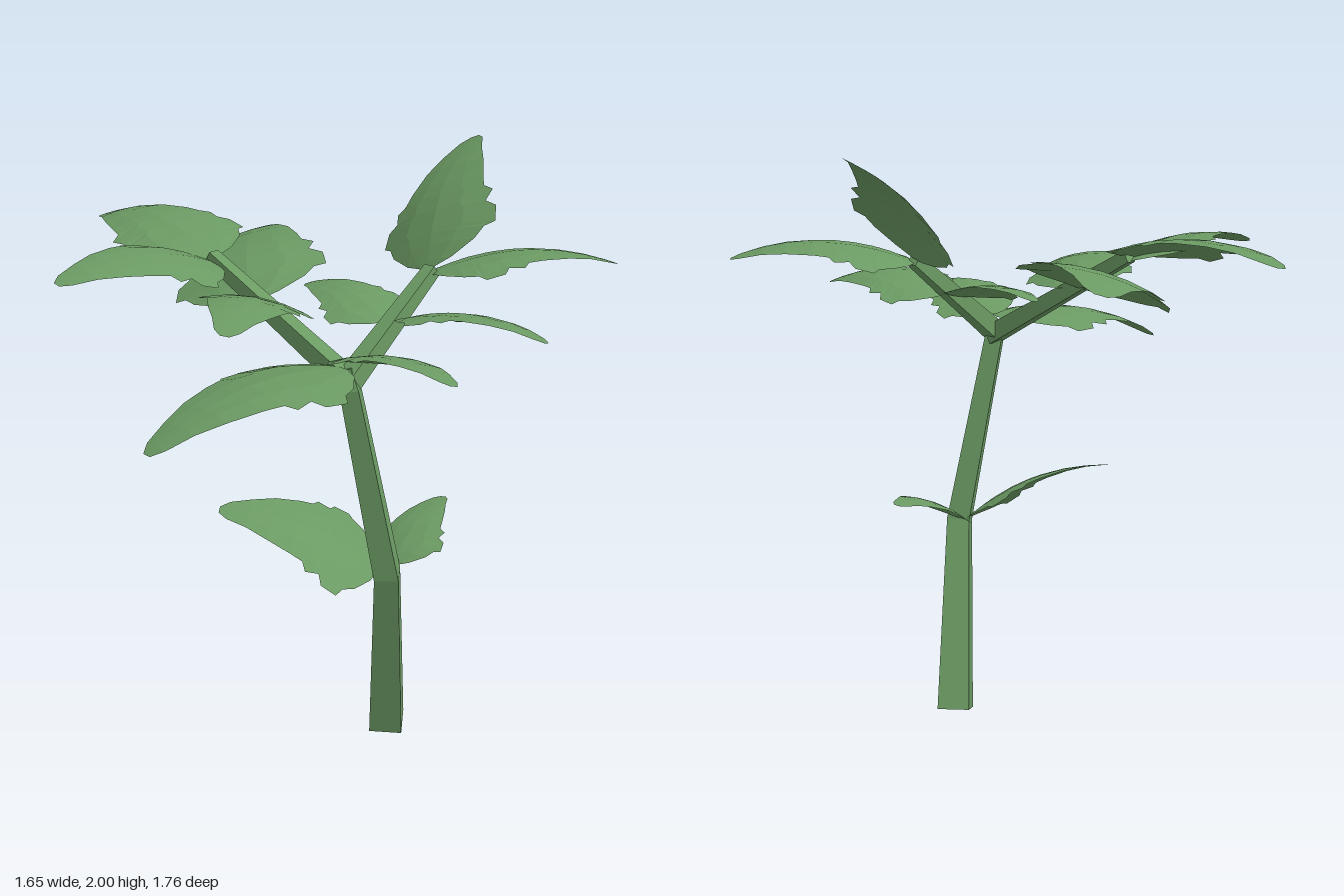
import * as THREE from 'three';

const V = (a) => new THREE.Vector3(...a);
const green = new THREE.MeshStandardMaterial({ color: 0x6b9a63, flatShading: true, side: THREE.DoubleSide });

function meshOf(name, points, index) {
  const geo = new THREE.BufferGeometry().setFromPoints(points);
  geo.setIndex(index);
  geo.computeVertexNormals();
  const mesh = new THREE.Mesh(geo, green);
  mesh.name = name;
  return mesh;
}

// Four-sided tapering stalk lofted along a path of [x, y, z, radius]; spin turns its section
function stalk(name, path, ref, spin) {
  const centres = path.map((p) => V(p.slice(0, 3)));
  const points = [], index = [], last = path.length - 1;
  centres.forEach((c, k) => {
    const t = centres[Math.min(k + 1, last)].clone().sub(centres[Math.max(k - 1, 0)]).normalize();
    const a = new THREE.Vector3().crossVectors(t, ref).normalize();
    const b = new THREE.Vector3().crossVectors(t, a);
    for (let i = 0; i < 4; i++) {
      const ang = (i * Math.PI) / 2 + spin;
      points.push(c.clone().addScaledVector(a, path[k][3] * Math.cos(ang)).addScaledVector(b, path[k][3] * Math.sin(ang)));
      if (k < last) {
        const p = k * 4 + i, q = k * 4 + ((i + 1) % 4);
        index.push(p, q, q + 4, p, q + 4, p + 4);
      }
    }
  });
  const e = last * 4;
  index.push(0, 2, 1, 0, 3, 2, e, e + 1, e + 2, e, e + 2, e + 3);
  return meshOf(name, points, index);
}

// Serrated outline: [distance along the leaf, half width], both as parts of its length
const OUTLINE = [
  [0, 0.03], [0.04, 0.13], [0.13, 0.24], [0.2, 0.28], [0.23, 0.33], [0.33, 0.32], [0.36, 0.265],
  [0.44, 0.285], [0.47, 0.235], [0.55, 0.215], [0.7, 0.17], [0.83, 0.115], [0.95, 0.07], [1, 0.025],
];

// Arched leaf from base to tip; roll lifts its right-hand edge
function leaf(name, base, tip, roll, width = 1) {
  const from = V(base), d = V(tip).sub(from), L = d.length();
  d.normalize();
  const s = new THREE.Vector3().crossVectors(d, new THREE.Vector3(0, 1, 0)).normalize().applyAxisAngle(d, -roll);
  const n = new THREE.Vector3().crossVectors(s, d);
  const points = [], index = [], cols = 5;
  OUTLINE.forEach(([t, w], k) => {
    for (let j = 0; j < cols; j++) {
      const u = j / 2 - 1;
      const lift = 0.4 * t * (1 - t) - 0.6 * (u * w) ** 2;
      points.push(from.clone().addScaledVector(d, t * L).addScaledVector(s, u * w * L * width).addScaledVector(n, lift * L));
      if (k < OUTLINE.length - 1 && j < cols - 1) {
        const p = k * cols + j, q = p + cols;
        index.push(p, p + 1, q + 1, p, q + 1, q);
      }
    }
  });
  return meshOf(name, points, index);
}

export function createModel() {
  const plant = new THREE.Group();
  plant.name = 'plant';

  // Bent main stem and its two branches
  const Y = new THREE.Vector3(0, 1, 0), Z = new THREE.Vector3(0, 0, 1);
  plant.add(
    stalk('mainStem', [[0.18, 0.02, 0.295, 0.08], [0.05, 0.68, 0.435, 0.057], [-0.08, 1.34, 0.39, 0.043], [-0.085, 1.4, 0.37, 0.03]], Z, 0),
    stalk('backBranch', [[-0.07, 1.35, 0.39, 0.045], [-0.205, 1.67, -0.19, 0.03]], Y, Math.PI / 4),
    stalk('leftBranch', [[-0.08, 1.36, 0.38, 0.045], [0.31, 1.65, 0.32, 0.03]], Y, Math.PI / 4),
  );

  // Leaves: name, base, tip, roll, width
  const leaves = [
    ['backBranchEndLeaf', [-0.2, 1.67, -0.18], [-0.2, 1.69, -0.88], 0.13],
    ['backBranchRightLeaf', [-0.2, 1.65, -0.17], [-0.81, 1.68, -0.14], 0.15],
    ['backBranchLeftLeaf', [-0.17, 1.54, -0.03], [0.28, 1.62, -0.61], 0.28, 1.08],
    ['backBranchFrontLeaf', [-0.14, 1.55, 0.02], [-0.56, 1.6, 0.4], 0.13],
    ['forkRightLeaf', [-0.1, 1.41, 0.38], [-0.82, 1.28, 0.37], -0.04],
    ['forkFrontLeaf', [-0.1, 1.43, 0.38], [-0.09, 1.48, 0.88], 0.22],
    ['leftBranchFrontLeaf', [0.14, 1.52, 0.36], [0.31, 1.53, 0.85], 0.2],
    ['leftBranchEndLeaf', [0.3, 1.64, 0.33], [0.82, 1.66, 0.65], 0.1],
    ['leftBranchRaisedLeaf', [0.31, 1.65, 0.3], [0.73, 2.0, 0.05], 0.45, 1.15],
    ['leftBranchBackLeaf', [0.12, 1.51, 0.32], [0.14, 1.54, -0.12], 0.15],
    ['lowerRightLeaf', [0.05, 0.69, 0.39], [-0.36, 0.89, 0.06], 0.25, 1.2],
    ['lowerLeftLeaf', [0.09, 0.7, 0.42], [0.42, 0.82, 0.29], 0.15, 1.1],
  ];
  leaves.forEach((args) => plant.add(leaf(...args)));
  return plant;
}
